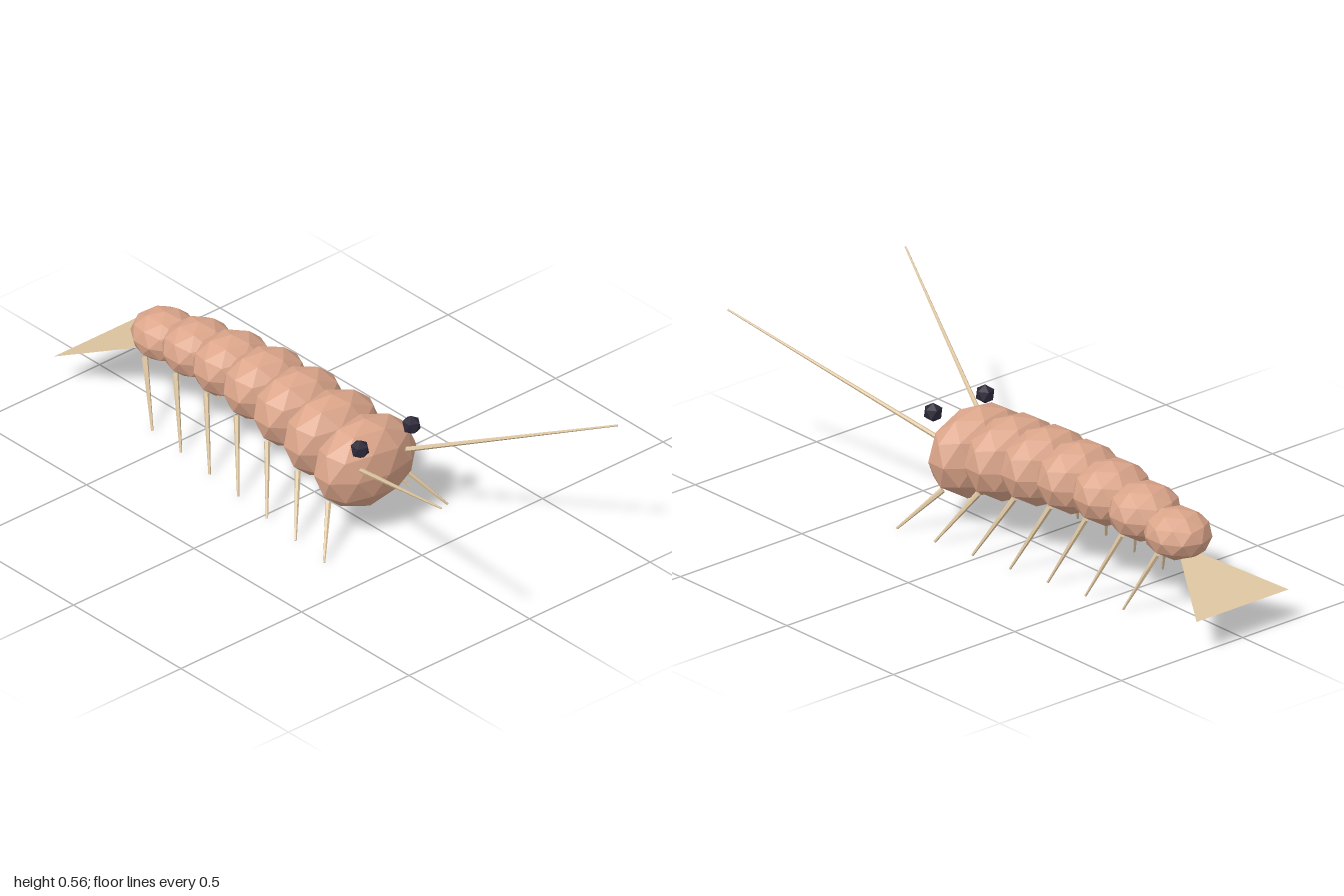
import * as THREE from 'three';

function material(name, color, side = THREE.FrontSide) {
  const m = new THREE.MeshStandardMaterial({ color, side, flatShading: true });
  m.name = name;
  return m;
}

// Faceted ball with a vertex at its top and bottom
function facetedBall(detail) {
  return new THREE.IcosahedronGeometry(1, detail).rotateZ(-Math.atan(2 / (1 + Math.sqrt(5))));
}

// Tapered rod from point a to point b
function rod(name, a, b, ra, rb, mat) {
  const start = new THREE.Vector3(...a), end = new THREE.Vector3(...b);
  const dir = end.clone().sub(start);
  const mesh = new THREE.Mesh(new THREE.CylinderGeometry(rb, ra, dir.length(), 6), mat);
  mesh.name = name;
  mesh.position.copy(start).add(end).multiplyScalar(0.5);
  mesh.quaternion.setFromUnitVectors(new THREE.Vector3(0, 1, 0), dir.normalize());
  return mesh;
}

export function createModel() {
  const model = new THREE.Group();
  model.name = 'shrimp';
  const shell = material('shell pink', 0xdba58a);
  const tan = material('limb tan', 0xdfc7a2);
  const fin = material('tail tan', 0xdfc7a2, THREE.DoubleSide);
  const dark = material('eye dark', 0x2c2838);
  const ball = facetedBall(1);
  const eyeBall = facetedBall(0);

  // Arched row of shrinking segments, each with a pair of legs
  for (let i = 0; i < 7; i++) {
    const z = 0.235 - 0.155 * i;
    const y = 0.225 + 0.067 * Math.sin(Math.PI * i / 7);
    const rx = 0.19 - 0.0142 * i;
    const ry = 0.15 - 0.0115 * i;
    const segment = new THREE.Mesh(ball, shell);
    segment.name = i === 0 ? 'head' : 'bodySegment' + i;
    segment.position.set(0, y, z);
    segment.scale.set(rx, ry, 0.115);
    model.add(segment);
    for (const s of [-1, 1]) {
      model.add(rod(s > 0 ? 'leftLeg' : 'rightLeg',
        [s * 0.8 * rx, y - 0.6 * ry, z],
        [s * (0.256 - 0.0194 * i), 0.003, z + 0.097], 0.01, 0.004, tan));
    }
  }

  // Eyes and antennae
  for (const s of [-1, 1]) {
    const side = s > 0 ? 'left' : 'right';
    const eye = new THREE.Mesh(eyeBall, dark);
    eye.name = side + 'Eye';
    eye.position.set(s * 0.107, 0.353, 0.331);
    eye.scale.setScalar(0.032);
    model.add(eye);
    model.add(rod(side + 'Antenna', [s * 0.093, 0.265, 0.322], [s * 0.366, 0.554, 1],
      0.008, 0.003, tan));
  }

  // Flat tail fan sloping down behind the last segment
  const fan = new THREE.BufferGeometry();
  fan.setAttribute('position', new THREE.Float32BufferAttribute(
    [0, 0.217, -0.69, 0.19, 0.108, -1, -0.19, 0.108, -1], 3));
  fan.computeVertexNormals();
  const tail = new THREE.Mesh(fan, fin);
  tail.name = 'tailFan';
  model.add(tail);

  return model;
}
